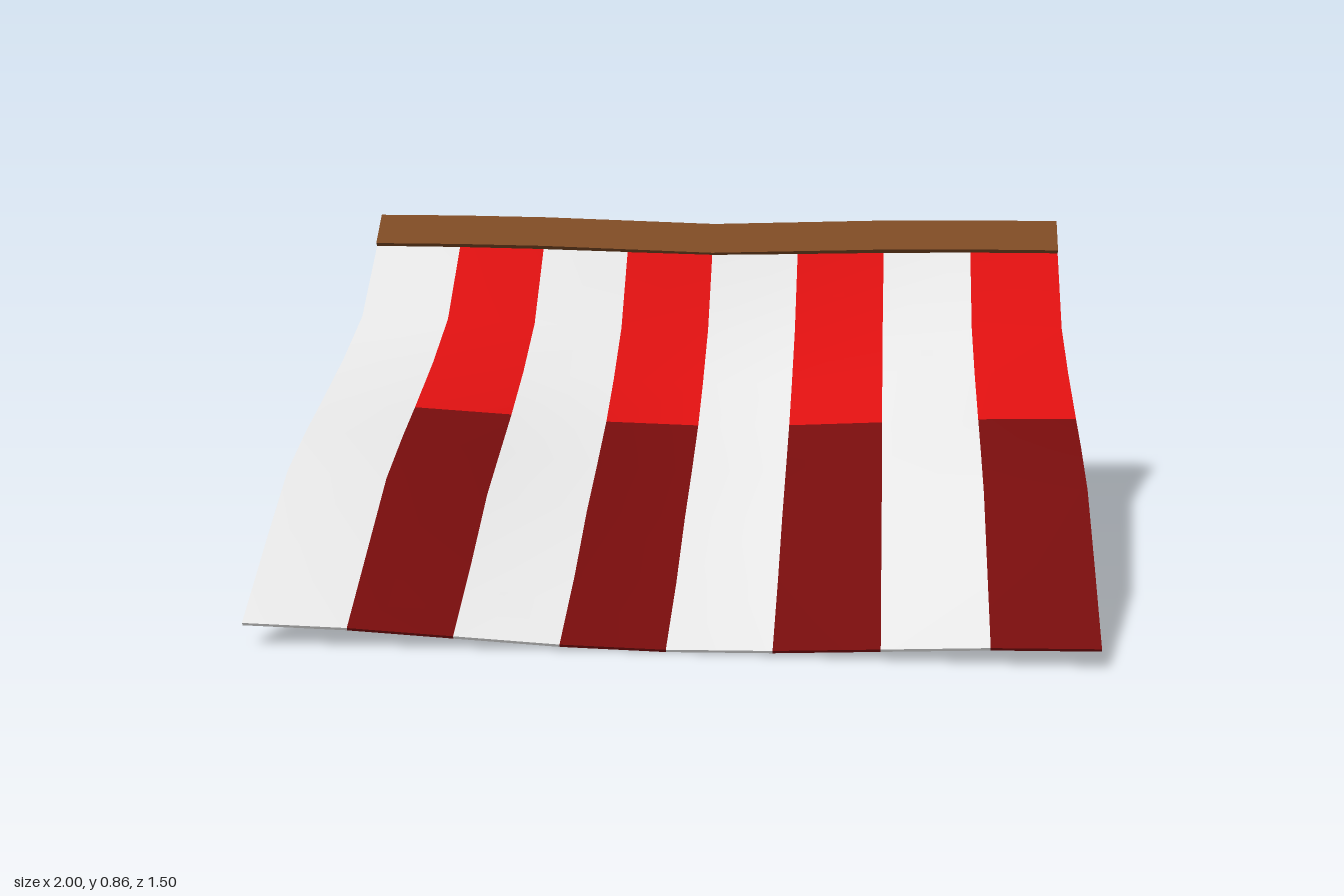
import * as THREE from 'three';

const mat = (name, color, extra = {}) => Object.assign(new THREE.MeshStandardMaterial({ color, ...extra }), { name });

// Fabric profile from the front hem to the rail: [z, y] at the sagging middle and at the raised sides
const MIDDLE = [[0.705, 0.005], [0.45, 0.09], [0.22, 0.194], [0.02, 0.269], [-0.182, 0.352], [-0.33, 0.438], [-0.51, 0.562], [-0.667, 0.772]];
const SIDES = [[0.745, 0.055], [0.535, 0.195], [0.33, 0.326], [0.15, 0.391], [0.005, 0.434], [-0.24, 0.511], [-0.46, 0.596], [-0.667, 0.782]];
const COLS = 8, ROWS = MIDDLE.length - 1, DYED = 4;

// Cloth point: cosine blend from middle to sides, with a small offset to give thickness
function clothPoint(i, j, side) {
  const x = -1 + (2 * i) / COLS;
  const w = (1 - Math.cos(Math.PI * x)) / 2;
  const [z0, y0] = MIDDLE[j], [z1, y1] = SIDES[j];
  const tilt = j < ROWS && x > 0 ? -0.006 * w : 0;
  return [x, y0 + (y1 - y0) * w + tilt + side * 0.0035, z0 + (z1 - z0) * w + side * 0.002];
}

function clothGeometry() {
  const pos = [], faces = [[], [], []];
  const add = (p) => pos.push(...p) / 3 - 1;
  const colour = (i, j) => (i % 2 === 0 ? 0 : j < DYED ? 2 : 1);
  const quad = (k, a, b, c, d) => faces[k].push(a, b, c, a, c, d);

  // Upper and lower sheets share vertices so their shading is smooth
  for (const side of [1, -1]) {
    const base = pos.length / 3;
    for (let j = 0; j <= ROWS; j++) for (let i = 0; i <= COLS; i++) add(clothPoint(i, j, side));
    const id = (i, j) => base + j * (COLS + 1) + i;
    for (let j = 0; j < ROWS; j++) for (let i = 0; i < COLS; i++) {
      const q = [id(i, j), id(i + 1, j), id(i + 1, j + 1), id(i, j + 1)];
      quad(colour(i, j), ...(side > 0 ? q : q.reverse()));
    }
  }

  // Hem around the four edges
  const hem = (k, a, b) => quad(k, add(clothPoint(...a, -1)), add(clothPoint(...b, -1)), add(clothPoint(...b, 1)), add(clothPoint(...a, 1)));
  for (let i = 0; i < COLS; i++) {
    hem(colour(i, 0), [i, 0], [i + 1, 0]);
    hem(colour(i, ROWS - 1), [i + 1, ROWS], [i, ROWS]);
  }
  for (let j = 0; j < ROWS; j++) {
    hem(colour(0, j), [0, j + 1], [0, j]);
    hem(colour(COLS - 1, j), [COLS, j], [COLS, j + 1]);
  }

  const geo = new THREE.BufferGeometry();
  geo.setAttribute('position', new THREE.Float32BufferAttribute(pos, 3));
  geo.setIndex(faces.flat());
  let start = 0;
  faces.forEach((f, k) => {
    geo.addGroup(start, f.length, k);
    start += f.length;
  });
  geo.computeVertexNormals();
  return geo;
}

// Tilted plank along the back edge, dipping slightly in the middle
function railGeometry() {
  const section = new THREE.Shape([[0.65, 0.79], [0.672, 0.768], [0.75, 0.842], [0.728, 0.866]].map(([x, y]) => new THREE.Vector2(x, y)));
  const geo = new THREE.ExtrudeGeometry(section, { depth: 2, steps: 8, bevelEnabled: false });
  geo.rotateY(Math.PI / 2).translate(-1, 0, 0);
  const p = geo.attributes.position;
  for (let n = 0; n < p.count; n++) {
    const dip = Math.max(0, 1 - Math.abs(p.getX(n)) / 0.6);
    p.setY(n, p.getY(n) - 0.018 * dip);
  }
  geo.computeVertexNormals();
  return geo;
}

export function createModel() {
  const double = { side: THREE.DoubleSide };
  const white = mat('white cloth', 0xe6e6e6, double);
  const red = mat('red cloth', 0xdc1010, double);
  const darkRed = mat('dark red cloth', 0x760c0c, double);
  const wood = mat('brown wood', 0x7d4a24);

  const group = new THREE.Group();
  group.name = 'awning';
  const cloth = new THREE.Mesh(clothGeometry(), [white, red, darkRed]);
  cloth.name = 'stripedCloth';
  const rail = new THREE.Mesh(railGeometry(), wood);
  rail.name = 'woodenRail';
  group.add(cloth, rail);
  return group;
}
